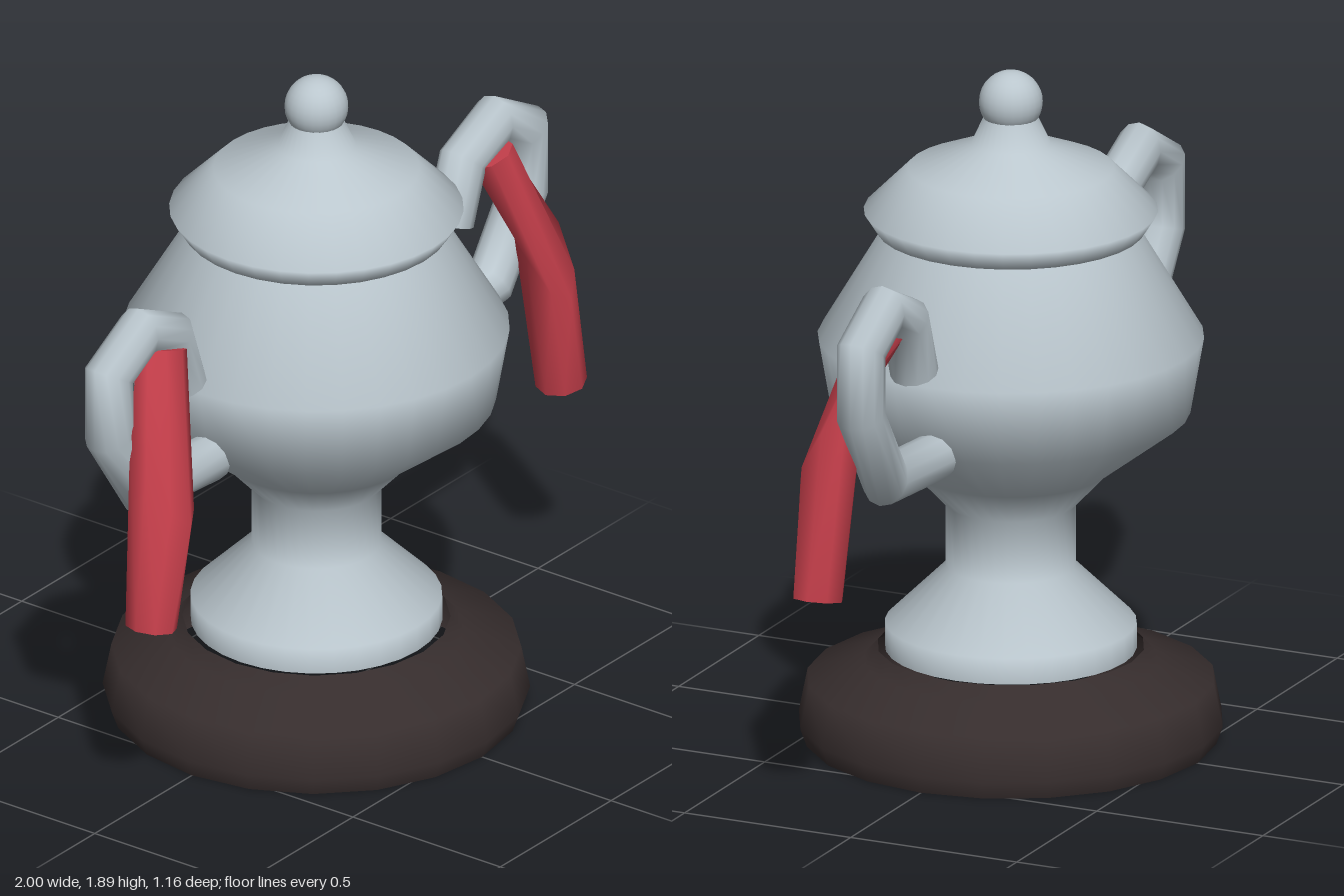
import * as THREE from 'three';

const mat = (name, color, side = THREE.FrontSide) => {
  const m = new THREE.MeshStandardMaterial({ color, side });
  m.name = name;
  return m;
};

// Skin a list of rings {c, u, v} (centre and two half-axes, u x v pointing forward) with flat end caps
function loft(rings, sides) {
  const pos = [], idx = [];
  const addRing = ({ c, u, v }) => {
    const start = pos.length / 3;
    for (let j = 0; j < sides; j++) {
      const a = (j / sides) * Math.PI * 2;
      for (let k = 0; k < 3; k++) pos.push(c[k] + u[k] * Math.cos(a) + v[k] * Math.sin(a));
    }
    return start;
  };
  rings.forEach(addRing);
  for (let i = 0; i < rings.length - 1; i++) {
    for (let j = 0; j < sides; j++) {
      const k = (j + 1) % sides;
      const a = i * sides + j, b = i * sides + k;
      idx.push(a, b, b + sides, a, b + sides, a + sides);
    }
  }
  [rings[0], rings[rings.length - 1]].forEach((ring, end) => {
    const s = addRing(ring);
    for (let j = 1; j < sides - 1; j++) {
      if (end) idx.push(s, s + j, s + j + 1);
      else idx.push(s, s + j + 1, s + j);
    }
  });
  const g = new THREE.BufferGeometry();
  g.setAttribute('position', new THREE.Float32BufferAttribute(pos, 3));
  g.setIndex(idx);
  g.computeVertexNormals();
  return g;
}

// Rings with mitred corners along a polyline in the xy plane
function mitredRings(path, r) {
  const pts = path.map(([x, y]) => new THREE.Vector2(x, y));
  return pts.map((p, i) => {
    const before = p.clone().sub(pts[Math.max(i - 1, 0)]).normalize();
    const after = pts[Math.min(i + 1, pts.length - 1)].clone().sub(p).normalize();
    const t = before.clone().add(after).normalize();
    const w = r / t.dot(i ? before : after);
    return { c: [p.x, p.y, 0], u: [-t.y * w, t.x * w, 0], v: [0, 0, r] };
  });
}

export function createModel() {
  const silver = mat('silver', 0xbac6cd, THREE.DoubleSide);
  const red = mat('ribbonRed', 0xc63f4b);
  const dark = mat('darkWood', 0x362d2d, THREE.DoubleSide);

  const model = new THREE.Group();
  model.name = 'trophyCup';
  const add = (name, geometry, material, parent = model) => {
    const m = new THREE.Mesh(geometry, material);
    m.name = name;
    parent.add(m);
    return m;
  };
  const lathe = (points, sides) =>
    new THREE.LatheGeometry(points.map(([x, y]) => new THREE.Vector2(x, y)), sides);

  // Hollow plinth, open underneath with a round hole on top
  add('plinth', lathe([[0.562, 0], [0.58, 0.05], [0.556, 0.17], [0.4, 0.22], [0.364, 0.26]], 20), dark);

  // Foot, stem and bowl
  add('cup', lathe([
    [0.342, 0.255], [0.342, 0.328], [0.177, 0.49], [0.177, 0.665],
    [0.27, 0.765], [0.488, 0.93], [0.525, 1.143], [0.345, 1.445],
  ], 32), silver);

  // Lid with its knob
  add('lid', lathe([
    [0.335, 1.445], [0.365, 1.445], [0.4, 1.5], [0.28, 1.62], [0.108, 1.69], [0.073, 1.765],
  ], 32), silver);
  add('knob', new THREE.SphereGeometry(0.087, 24, 16), silver).position.y = 1.807;

  // Curled handle with a ribbon hanging in front of it, mirrored to both sides
  const handle = loft(mitredRings([
    [0.475, 0.933], [0.782, 0.955], [0.935, 1.18], [0.935, 1.365],
    [0.8, 1.44], [0.66, 1.375], [0.602, 1.21],
  ], 0.066), 12);
  const ribbon = loft([
    { c: [0.735, 1.375, 0.03], u: [0.066, 0.022, 0], v: [0, 0.015, 0.068] },
    { c: [0.858, 1.09, 0.122], u: [0.073, 0.025, 0], v: [0, -0.15, 0.098] },
    { c: [0.925, 0.638, 0.135], u: [0.07, 0.013, 0], v: [0, 0, 0.071] },
  ], 8);
  for (const side of [1, -1]) {
    const arm = new THREE.Group();
    arm.name = side > 0 ? 'leftArm' : 'rightArm';
    arm.scale.x = side;
    add('handle', handle, silver, arm);
    add('ribbon', ribbon, red, arm);
    model.add(arm);
  }
  return model;
}
